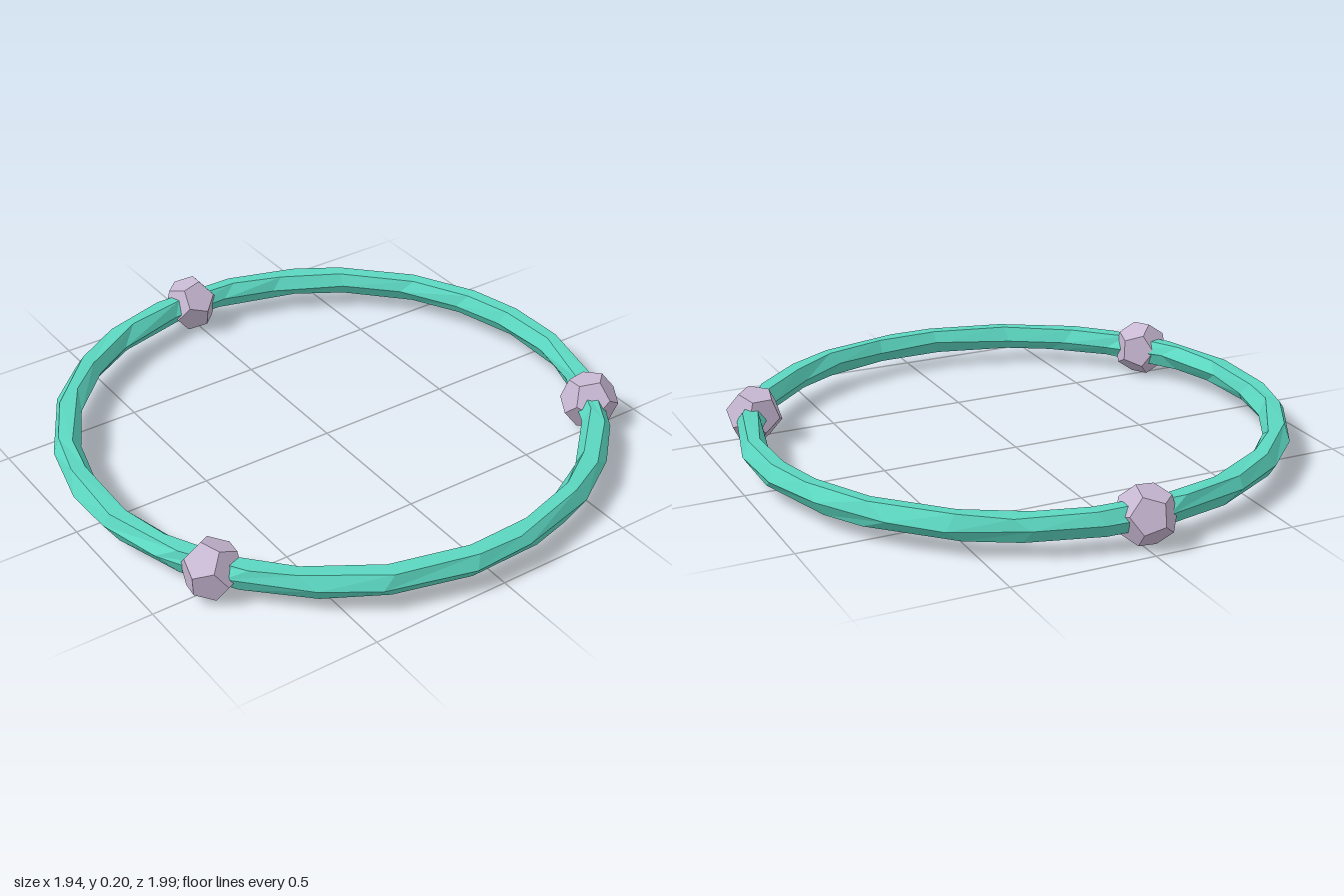
import * as THREE from 'three';

const SEGMENTS = 24, SIDES = 6;
const RING_R = 0.925, TUBE_R = 0.049, MID_Y = 0.103;

// repeatable value in -1..1 for a pair of indices
function noise(i, j) {
  const s = Math.sin(i * 12.99 + j * 78.23) * 43758.55;
  return (s - Math.floor(s)) * 2 - 1;
}

// split vertices so that every facet has its own flat normal
function faceted(geometry) {
  const g = geometry.index ? geometry.toNonIndexed() : geometry;
  g.computeVertexNormals();
  return g;
}

// hexagonal hoop, slightly uneven as if hand carved
function carvedHoop() {
  const g = new THREE.TorusGeometry(RING_R, TUBE_R, SIDES, SEGMENTS);
  const p = g.attributes.position;
  for (let j = 0; j <= SIDES; j++) {
    for (let i = 0; i <= SEGMENTS; i++) {
      const a = i % SEGMENTS, b = j % SIDES;
      const u = ((a + 0.5 + noise(a, b) * 0.22) / SEGMENTS) * Math.PI * 2;
      const v = (b / SIDES) * Math.PI * 2 + noise(a + 40, b) * 0.14;
      const r = RING_R + TUBE_R * Math.cos(v);
      p.setXYZ(j * (SEGMENTS + 1) + i, r * Math.cos(u), r * Math.sin(u), TUBE_R * Math.sin(v));
    }
  }
  g.rotateX(Math.PI / 2);
  return faceted(g);
}

export function createModel() {
  const group = new THREE.Group();
  const teal = new THREE.MeshStandardMaterial({ color: 0x5bd6c0 });
  teal.name = 'teal';
  const lilac = new THREE.MeshStandardMaterial({ color: 0xc8b8d3 });
  lilac.name = 'paleLilac';

  // main ring
  const ring = new THREE.Mesh(carvedHoop(), teal);
  ring.name = 'ring';
  ring.position.set(0, MID_Y, 0.025);
  group.add(ring);

  // three faceted beads threaded on the ring
  const beads = [
    ['backBead', -0.018, -0.9, [0.3, 0.2, 0.1]],
    ['rightBead', -0.79, 0.515, [0.5, 0.9, 0.3]],
    ['leftBead', 0.807, 0.468, [0.2, 1.7, 0.6]],
  ];
  for (const [name, x, z, turn] of beads) {
    const bead = new THREE.Mesh(faceted(new THREE.DodecahedronGeometry(0.103)), lilac);
    bead.name = name;
    bead.position.set(x, 0.102, z);
    bead.rotation.set(...turn);
    group.add(bead);
  }
  return group;
}
